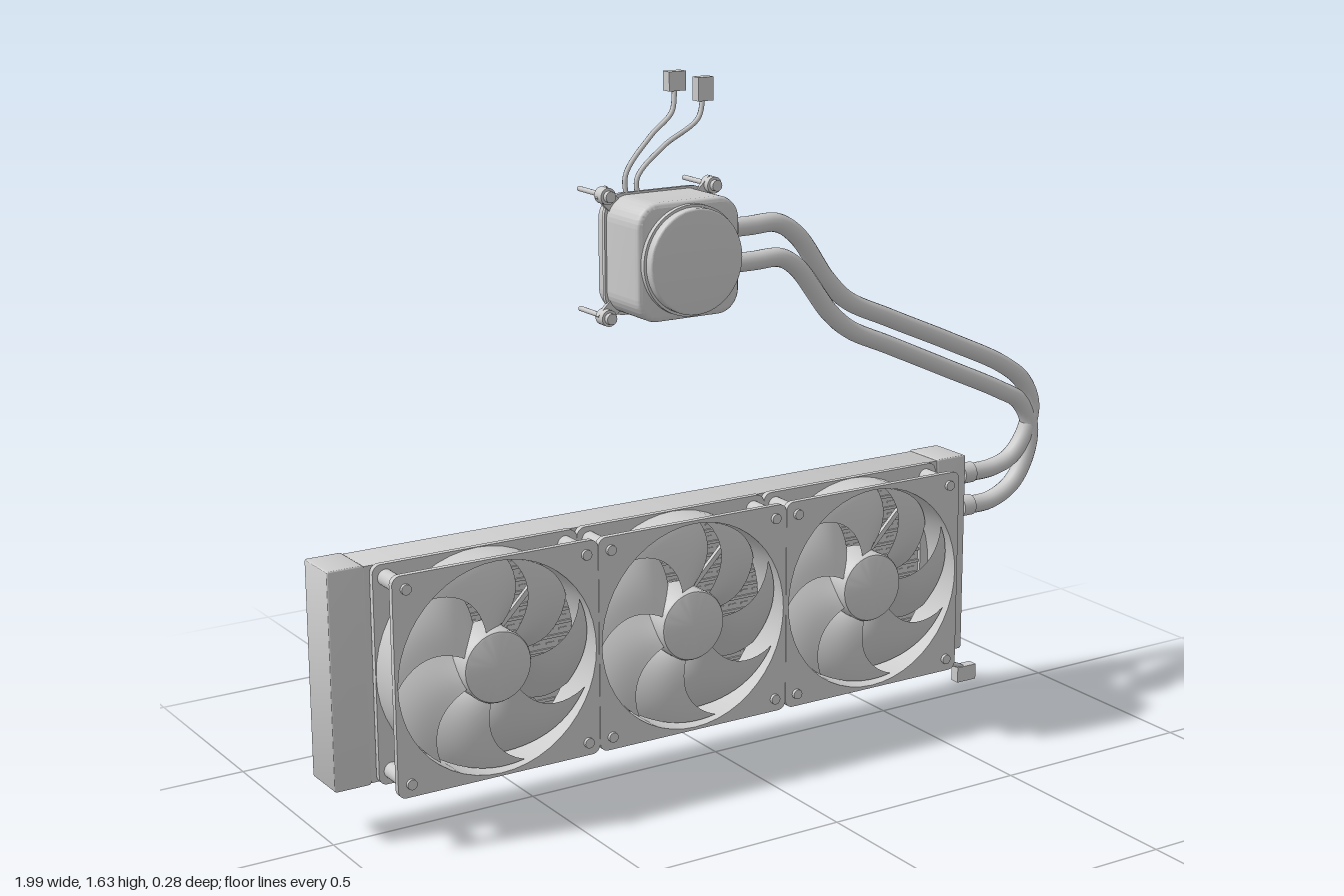
import * as THREE from 'three';
import { mergeGeometries, toCreasedNormals } from 'three/addons/utils/BufferGeometryUtils.js';
import { ParametricGeometry } from 'three/addons/geometries/ParametricGeometry.js';

const grey = new THREE.MeshStandardMaterial({ color: 0xcccccc });
const thin = new THREE.MeshStandardMaterial({ color: 0xcccccc, side: THREE.DoubleSide });

function add(parent, name, geo, x = 0, y = 0, z = 0, mat = grey) {
  const m = new THREE.Mesh(geo, mat);
  m.name = name;
  m.position.set(x, y, z);
  parent.add(m);
  return m;
}
const box = (w, h, d, x = 0, y = 0, z = 0) => new THREE.BoxGeometry(w, h, d).translate(x, y, z);
// cylinder along z, spanning z0..z1
const rod = (r, z0, z1, x = 0, y = 0, seg = 24) =>
  new THREE.CylinderGeometry(r, r, z1 - z0, seg).rotateX(Math.PI / 2).translate(x, y, (z0 + z1) / 2);

function roundRect(w, h, r) {
  const s = new THREE.Shape(), a = w / 2, b = h / 2;
  s.absarc(a - r, b - r, r, 0, Math.PI / 2);
  s.absarc(-a + r, b - r, r, Math.PI / 2, Math.PI);
  s.absarc(-a + r, -b + r, r, Math.PI, Math.PI * 1.5);
  s.absarc(a - r, -b + r, r, Math.PI * 1.5, Math.PI * 2);
  s.closePath();
  return s;
}
const circle = r => new THREE.Path().absarc(0, 0, r, 0, Math.PI * 2, true);
// extrusion spanning z0..z1, bevel included
function slab(shape, z0, z1, bevel = 0) {
  const g = new THREE.ExtrudeGeometry(shape, {
    depth: z1 - z0 - 2 * bevel, bevelEnabled: bevel > 0, bevelSize: bevel, bevelOffset: -bevel,
    bevelThickness: bevel, bevelSegments: 3, curveSegments: 24,
  }).translate(0, 0, z0 + bevel);
  return toCreasedNormals(g, 0.6);
}
function tube(points, r, seg = 80, sides = 16) {
  const c = new THREE.CatmullRomCurve3(points.map(p => new THREE.Vector3(...p)), false, 'centripetal');
  return new THREE.TubeGeometry(c, seg, r, sides);
}

function radiator() {
  const g = new THREE.Group();
  g.name = 'radiator';
  const cy = 0.383, cx = -0.14, h = 0.505;
  for (const [x, name] of [[-0.957, 'rightEndTank'], [0.68, 'leftEndTank']])
    add(g, name, slab(roundRect(0.088, h, 0.006), -0.092, 0.022, 0.003), x, cy);
  // casing around the core, open to front and back
  const casing = roundRect(1.56, h - 0.006, 0.003);
  casing.holes.push(roundRect(1.46, 0.43, 0.003));
  add(g, 'casing', slab(casing, -0.088, 0.019), cx, cy);
  add(g, 'core', box(1.5, 0.46, 0.088), cx, cy, -0.0345);
  // flat water channels with short fin marks between them
  const channels = [], fins = [];
  for (let i = 0; i <= 14; i++) {
    const y = -0.21 + i * 0.03;
    channels.push(box(1.46, 0.007, 0.097, 0, y, 0));
    if (i < 14) for (let k = 0; k < 44; k++)
      fins.push(box(0.02, 0.004, 0.092, -0.71 + k * 0.033, y + 0.015, 0));
  }
  add(g, 'waterChannels', mergeGeometries(channels), cx, cy, -0.0345);
  add(g, 'fins', mergeGeometries(fins), cx, cy, -0.0345);
  for (const y of [0.57, 0.485]) {
    const port = rod(0.019, 0, 0.06).rotateY(Math.PI / 2);
    add(g, 'outletPort', port, 0.72, y, -0.032);
    add(g, 'outletCollar', rod(0.026, 0, 0.035).rotateY(Math.PI / 2), 0.75, y, -0.032);
  }
  return g;
}

function fan() {
  const g = new THREE.Group();
  g.name = 'fan';
  const frame = roundRect(0.506, 0.506, 0.02);
  frame.holes.push(circle(0.246));
  add(g, 'frontFlange', slab(frame, 0.116, 0.13));
  add(g, 'rearFlange', slab(frame, 0.022, 0.036));
  const duct = new THREE.Shape().absarc(0, 0, 0.252, 0, Math.PI * 2);
  duct.holes.push(circle(0.246));
  add(g, 'duct', slab(duct, 0.024, 0.128));
  for (const x of [-0.222, 0.222]) for (const y of [-0.222, 0.222]) {
    add(g, 'cornerPost', rod(0.019, 0.03, 0.12, x, y));
    add(g, 'screwHead', rod(0.012, 0.125, 0.138, x, y, 12));
  }
  // hub with a rounded rim
  const profile = [[0, 0.04], [0.084, 0.04], [0.084, 0.12], [0.081, 0.125], [0.076, 0.127], [0, 0.127]]
    .map(p => new THREE.Vector2(...p));
  add(g, 'hub', toCreasedNormals(new THREE.LatheGeometry(profile, 40).rotateX(Math.PI / 2).scale(1, 1, -1)
    .rotateY(Math.PI).translate(0, 0, 0), 0.6), 0, 0, 0, thin);
  // swept, pitched blades
  const blade = new ParametricGeometry((u, v, p) => {
    const r = 0.08 + 0.162 * u;
    const a = 0.95 * v + 0.55 * u * u - 0.1 * u;
    const z = 0.045 + 0.07 * v + 0.012 * Math.sin(Math.PI * v);
    p.set(r * Math.cos(a), r * Math.sin(a), z);
  }, 12, 12);
  for (let i = 0; i < 7; i++)
    add(g, 'blade', blade, 0, 0, 0, thin).rotation.z = i * Math.PI * 2 / 7;
  // motor mount
  add(g, 'motorMount', rod(0.08, 0.024, 0.038));
  for (let i = 0; i < 4; i++)
    add(g, 'strut', box(0.175, 0.012, 0.01, 0.16, 0, 0.029)).rotation.z = Math.PI / 4 + i * Math.PI / 2;
  return g;
}

function pump() {
  const g = new THREE.Group();
  g.name = 'pump';
  add(g, 'housing', slab(roundRect(0.268, 0.268, 0.055), -0.074, 0.104, 0.012));
  add(g, 'capBase', rod(0.126, 0.1, 0.116, 0, 0, 64));
  add(g, 'cap', slab(new THREE.Shape().absarc(0, 0, 0.12, 0, Math.PI * 2), 0.112, 0.137, 0.004));
  add(g, 'coldPlate', slab(roundRect(0.225, 0.225, 0.02), -0.087, -0.07, 0.002));
  for (const x of [-0.095, 0, 0.095]) for (const y of [-0.095, 0.095])
    add(g, 'plateScrew', rod(0.006, -0.09, -0.08, x, y, 12));
  add(g, 'plateRib', box(0.17, 0.006, 0.004, 0, -0.075, -0.088));
  // mounting bracket with four ears, sleeves and pins
  add(g, 'bracket', slab(roundRect(0.278, 0.278, 0.05), -0.04, -0.03));
  for (const sx of [-1, 1]) for (const sy of [-1, 1]) {
    const x = sx * 0.14, y = sy * 0.138;
    const ear = add(g, 'bracketEar', box(0.075, 0.036, 0.01), x * 0.87, y * 0.87, -0.03);
    ear.rotation.z = Math.atan2(sy, sx);
    add(g, 'sleeve', rod(0.019, -0.04, -0.01, x, y));
    add(g, 'thumbScrew', rod(0.013, -0.01, 0.002, x, y, 12));
    add(g, 'mountingPin', rod(0.006, -0.139, -0.02, x, y, 12));
  }
  for (const y of [0.045, -0.04])
    add(g, 'hoseCollar', rod(0.026, 0, 0.045).rotateY(Math.PI / 2), 0.125, y, 0.02);
  g.position.set(-0.136, 1.233, 0);
  return g;
}

export function createModel() {
  const model = new THREE.Group();
  model.name = 'liquidCooler';
  model.add(radiator(), pump());
  for (const x of [-0.648, -0.141, 0.366]) {
    const f = fan();
    f.position.set(x, 0.383, 0);
    model.add(f);
  }
  // hoses
  add(model, 'upperHose', tube([[0, 1.275, 0.02], [0.08, 1.275, 0.018], [0.16, 1.273, 0.013], [0.22, 1.235, 0.01],
    [0.31, 1.12, 0.002], [0.37, 1.065, -0.001], [0.5, 1.005, -0.007], [0.7, 0.918, -0.016], [0.87, 0.838, -0.024],
    [0.94, 0.785, -0.028], [0.97, 0.72, -0.03], [0.955, 0.65, -0.031], [0.91, 0.593, -0.032], [0.85, 0.572, -0.032],
    [0.75, 0.57, -0.032]], 0.0225, 120));
  add(model, 'lowerHose', tube([[0, 1.192, 0.02], [0.09, 1.192, 0.018], [0.17, 1.19, 0.013], [0.22, 1.16, 0.01],
    [0.32, 1.04, 0.002], [0.38, 0.992, -0.001], [0.5, 0.938, -0.007], [0.7, 0.848, -0.016], [0.86, 0.775, -0.024],
    [0.93, 0.735, -0.028], [0.967, 0.67, -0.03], [0.962, 0.6, -0.031], [0.92, 0.525, -0.032], [0.85, 0.488, -0.032],
    [0.75, 0.485, -0.032]], 0.0225, 120));
  // cables with plugs
  const cable = (name, pts, w, h, px, py, pz) => {
    add(model, name + 'Cable', tube(pts, 0.006, 40, 8));
    add(model, name + 'Plug', box(w, h, 0.026), px, py, pz);
    add(model, name + 'PlugTab', box(w * 0.5, h * 0.6, 0.008), px, py, pz - 0.014);
  };
  cable('pumpPower', [[-0.213, 1.35, -0.035], [-0.213, 1.41, -0.04], [-0.145, 1.49, -0.045], [-0.085, 1.54, -0.05],
    [-0.072, 1.59, -0.058]], 0.044, 0.044, -0.071, 1.608, -0.06);
  cable('pumpData', [[-0.183, 1.35, -0.035], [-0.183, 1.4, -0.04], [-0.11, 1.465, -0.045], [-0.015, 1.52, -0.05],
    [0.004, 1.57, -0.058]], 0.04, 0.054, 0.005, 1.585, -0.06);
  cable('fan', [[0.6, 0.145, 0.025], [0.64, 0.128, 0.0], [0.69, 0.105, -0.03], [0.74, 0.066, -0.05],
    [0.79, 0.043, -0.065], [0.81, 0.03, -0.07]], 0.058, 0.04, 0.808, 0.021, -0.07);
  return model;
}
